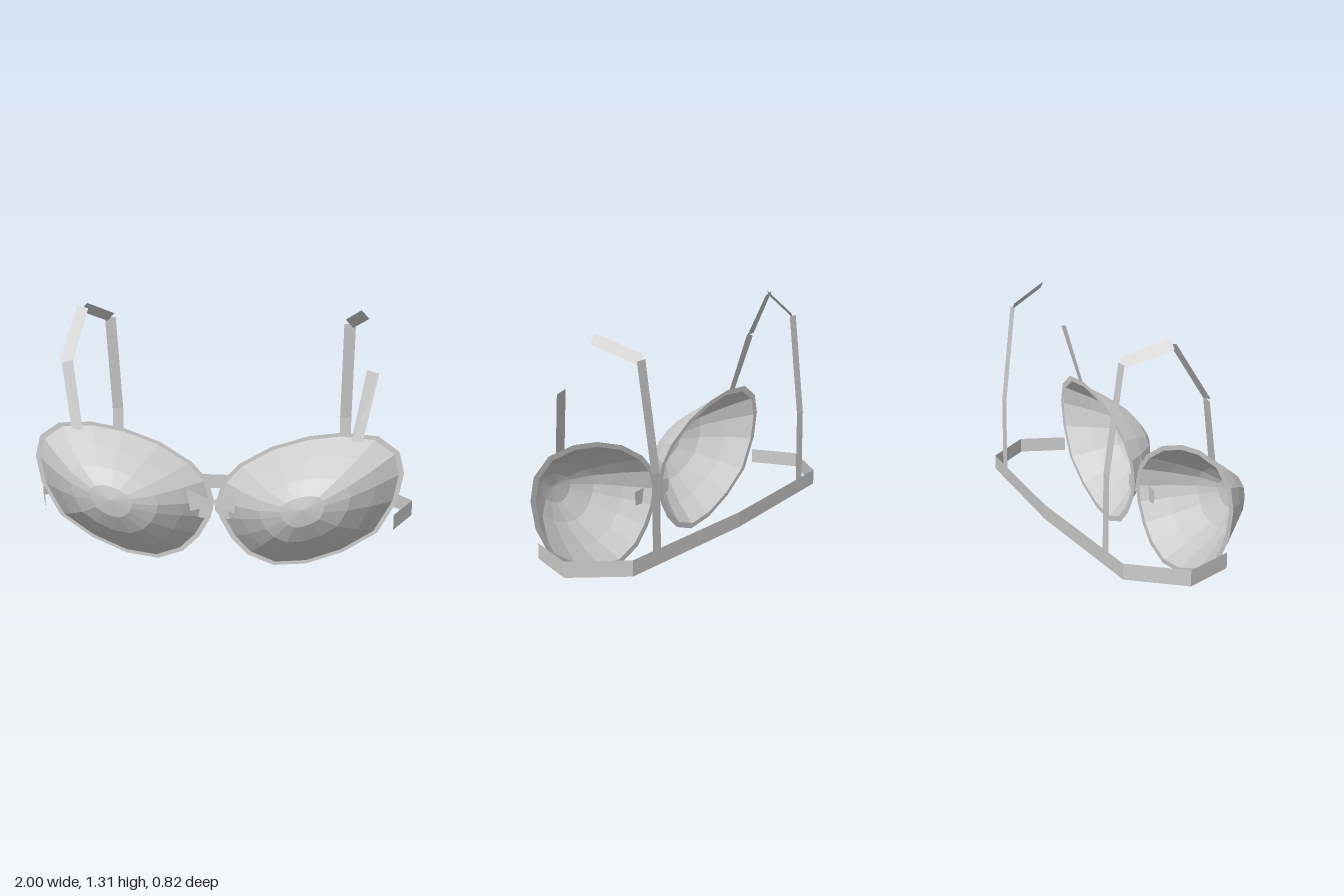
import * as THREE from 'three';

// Surface through rows of points; side -1 mirrors it in x
function loft(rows, side, closed, material, name) {
  const pos = [];
  const tri = (...pts) => {
    const [a, b, c] = pts.map(p => new THREE.Vector3(p[0] * side, p[1], p[2]));
    if (new THREE.Triangle(a, b, c).getArea() < 1e-8) return;
    for (const v of side > 0 ? [a, b, c] : [a, c, b]) pos.push(v.x, v.y, v.z);
  };
  for (let r = 0; r < rows.length - 1; r++) {
    const a = rows[r], b = rows[r + 1], n = a.length;
    for (let i = 0; i < (closed ? n : n - 1); i++) {
      const j = (i + 1) % n;
      tri(a[i], a[j], b[j]);
      tri(a[i], b[j], b[i]);
    }
  }
  const g = new THREE.BufferGeometry();
  g.setAttribute('position', new THREE.Float32BufferAttribute(pos, 3));
  g.computeVertexNormals();
  const mesh = new THREE.Mesh(g, material);
  mesh.name = name;
  return mesh;
}

// Outer edge of one cup, counterclockwise from its outer side
const OUTLINE = [
  [0.952, 0.53], [0.925, 0.64], [0.82, 0.715], [0.645, 0.727], [0.475, 0.7], [0.285, 0.635],
  [0.12, 0.535], [0.035, 0.44], [0.005, 0.33], [0.025, 0.24], [0.085, 0.135], [0.17, 0.05],
  [0.305, 0], [0.475, 0.02], [0.66, 0.095], [0.83, 0.21], [0.925, 0.385],
];
const EDGE_Z = 0.115;

// Outline scaled about the cup centre
const ring = (s, z) => OUTLINE.map(([x, y]) => [0.478 + (x - 0.478) * s, 0.365 + (y - 0.365) * s, z]);

export function createModel() {
  const group = new THREE.Group();
  const fabric = new THREE.MeshStandardMaterial({ color: 0xcccccc });
  fabric.name = 'light grey fabric';
  fabric.flatShading = true;
  fabric.side = THREE.DoubleSide;

  for (const side of [1, -1]) {
    const label = side > 0 ? 'left' : 'right';
    const add = (name, rows, closed = false) => group.add(loft(rows, side, closed, fabric, label + name));

    // Faceted cup, its rings closing in on the tip
    const edge = ring(0.945, EDGE_Z);
    const tip = [0.475, 0.41];
    const cupRows = [[1, 0], [0.76, 0.12], [0.5, 0.225], [0.24, 0.283], [0, 0.297]].map(([f, h]) =>
      edge.map(([x, y]) => [tip[0] + (x - tip[0]) * f, tip[1] + (y - tip[1]) * f, EDGE_Z + h]));
    add('Cup', cupRows, true);

    // Flat trim around the cup
    add('CupTrim', [ring(1, EDGE_Z - 0.001), ring(0.925, EDGE_Z - 0.001)], true);

    // Shoulder strap: front, rise (right side only), top and back
    add('StrapFront', [
      [[0.685, 0.68, 0.14], [0.745, 0.695, 0.14]],
      [[0.75, 1.035, 0.06], [0.81, 1.02, 0.06]],
    ]);
    if (side < 0) add('StrapRise', [
      [[0.75, 1.025, 0.06], [0.818, 1.035, 0.06]],
      [[0.703, 1.28, -0.09], [0.76, 1.295, -0.09]],
    ]);
    add('StrapTop', [
      [[0.707, 1.307, -0.09], [0.748, 1.265, -0.09]],
      [[0.618, 1.222, -0.3], [0.658, 1.18, -0.3]],
    ]);
    add('StrapBack', [
      [[0.612, 1.2, -0.3], [0.672, 1.2, -0.3]],
      [[0.6, 0.68, -0.37], [0.66, 0.68, -0.37]],
      [[0.6, 0.3, -0.376], [0.66, 0.3, -0.376]],
    ]);

    // Half of the band around the back
    add('Band', [[0.91, 0.115], [1, -0.13], [0.8, -0.37], [0, -0.41]].map(([x, z]) =>
      [[x, 0.31, z], [x, 0.23, z]]));

    // Bow loop and tail
    add('BowLoop', [
      [[0.01, 0.335, 0.195], [0.112, 0.305, 0.212]],
      [[0.01, 0.365, 0.195], [0.135, 0.425, 0.212]],
    ]);
    add('BowTail', [
      [[0.005, 0.3, 0.155], [0.04, 0.25, 0.155], [0.14, 0.26, 0.15]],
      [[0.005, 0.325, 0.155], [0.05, 0.338, 0.155], [0.145, 0.335, 0.15]],
    ]);
  }
  return group;
}
